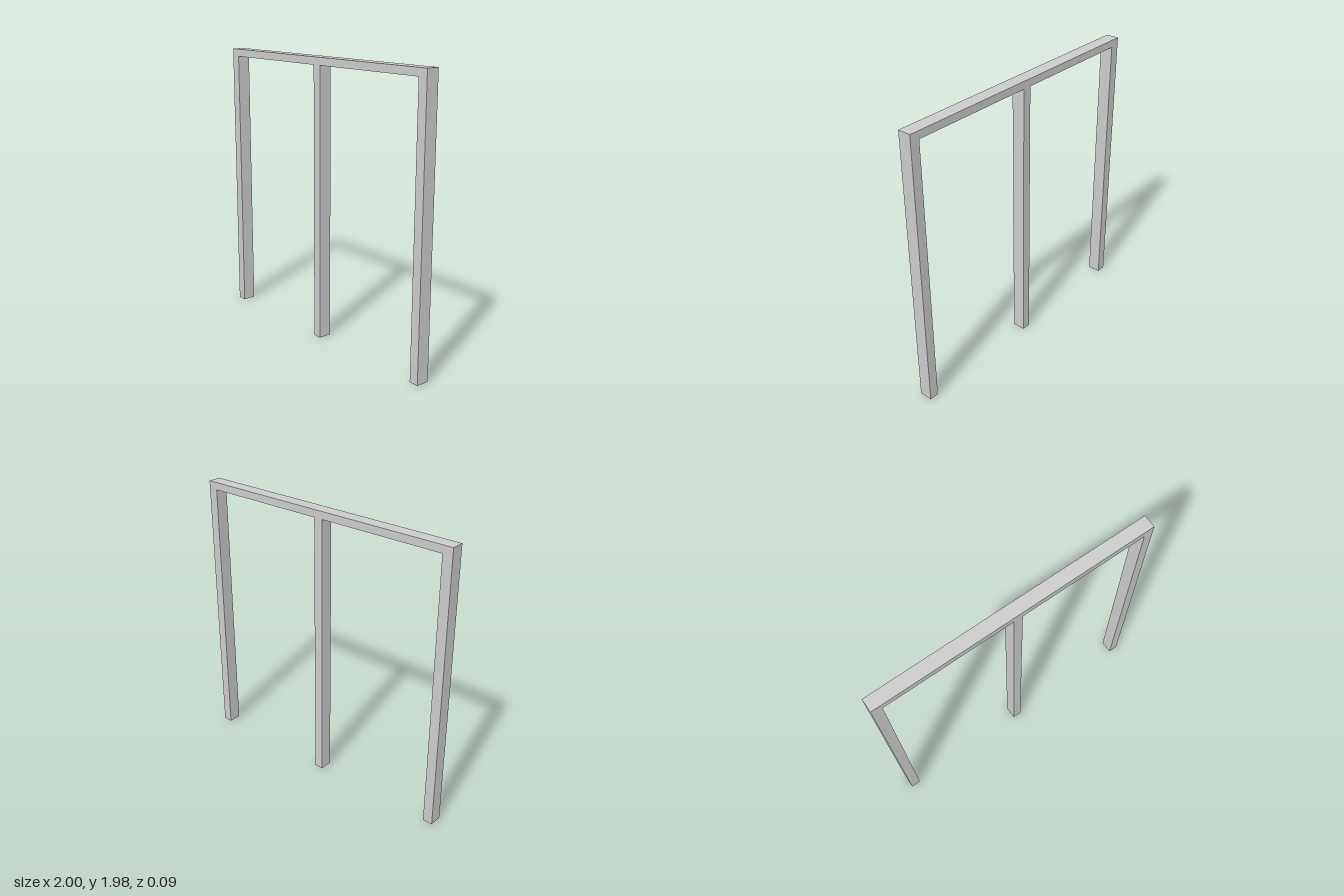
import * as THREE from 'three';

const TOP = 1.975;       // top of the beam
const UNDERSIDE = 1.922; // underside of the beam
const DEPTH = 0.092;

// Posts from left to right: [x start, x end, foot height]
const POSTS = [
  [-1, -0.93, 0],
  [-0.032, 0.032, 0],
  [0.933, 1, 0.01],
];

export function createModel() {
  const model = new THREE.Group();
  model.name = 'postFrame';

  // Beam and three posts as one continuous outline
  const points = [new THREE.Vector2(1, TOP), new THREE.Vector2(-1, TOP)];
  POSTS.forEach(([x0, x1, foot], i) => {
    if (i > 0) points.push(new THREE.Vector2(x0, UNDERSIDE));
    points.push(new THREE.Vector2(x0, foot), new THREE.Vector2(x1, foot));
    if (i < POSTS.length - 1) points.push(new THREE.Vector2(x1, UNDERSIDE));
  });

  const geometry = new THREE.ExtrudeGeometry(new THREE.Shape(points), {
    depth: DEPTH,
    bevelEnabled: false,
  });
  geometry.translate(0, 0, -DEPTH / 2);

  const frame = new THREE.Mesh(
    geometry,
    new THREE.MeshStandardMaterial({ color: 0xcccccc, flatShading: true })
  );
  frame.name = 'beamAndPosts';
  model.add(frame);
  return model;
}
